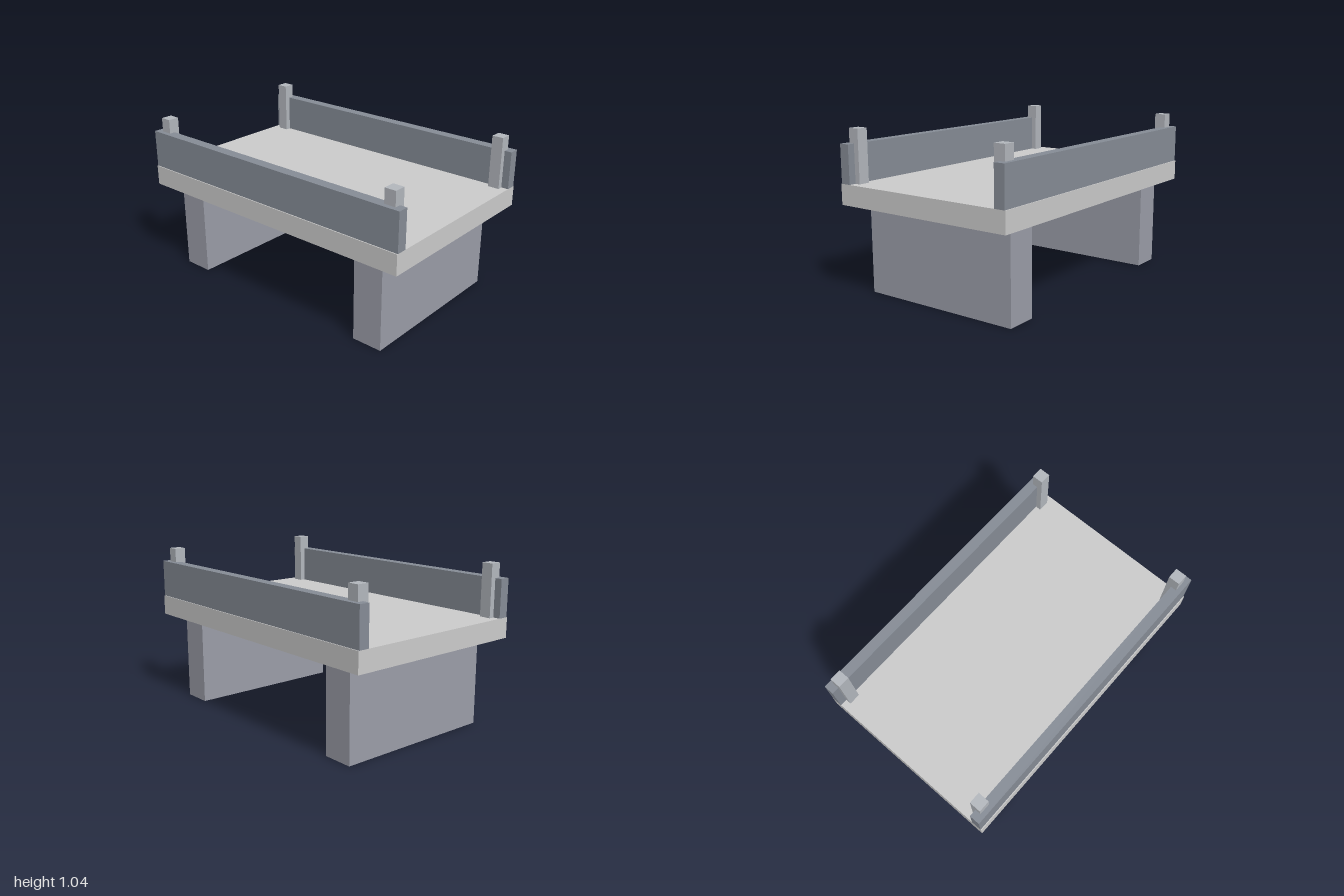
import * as THREE from 'three';

export function createModel() {
  const model = new THREE.Group();
  model.name = 'bridge';

  const mat = (color) => new THREE.MeshStandardMaterial({ color });
  const deckMat = mat(0xc3c4c7);
  const pierMat = mat(0x9b9da8);
  const railMat = mat(0x868c96);
  const postMat = mat(0xb3b7bd);

  // Box given by its centre in x and z, its bottom and its top
  function block(name, material, width, depth, bottom, top, x = 0, z = 0) {
    const mesh = new THREE.Mesh(new THREE.BoxGeometry(width, top - bottom, depth), material);
    mesh.name = name;
    mesh.position.set(x, (bottom + top) / 2, z);
    model.add(mesh);
  }

  const deckBottom = 0.578;
  const deckTop = 0.709;

  // Deck slab
  block('deck', deckMat, 2, 1.246, deckBottom, deckTop);

  for (const side of [-1, 1]) {
    // Wall-like supports under each end
    block(side > 0 ? 'leftPier' : 'rightPier', pierMat, 0.2, 1.08, 0, deckBottom, side * 0.747);

    // Solid parapets along front and back
    const edge = side > 0 ? 'front' : 'back';
    block(edge + 'Parapet', railMat, 2, 0.068, deckTop, 0.953, 0, side * 0.583);

    // Posts near the ends, set into the inner face of the parapet
    for (const end of [-1, 1]) {
      block(edge + (end > 0 ? 'LeftPost' : 'RightPost'), postMat,
        0.074, 0.074, deckTop, 1.045, end * 0.916, side * 0.55);
    }
  }

  return model;
}
